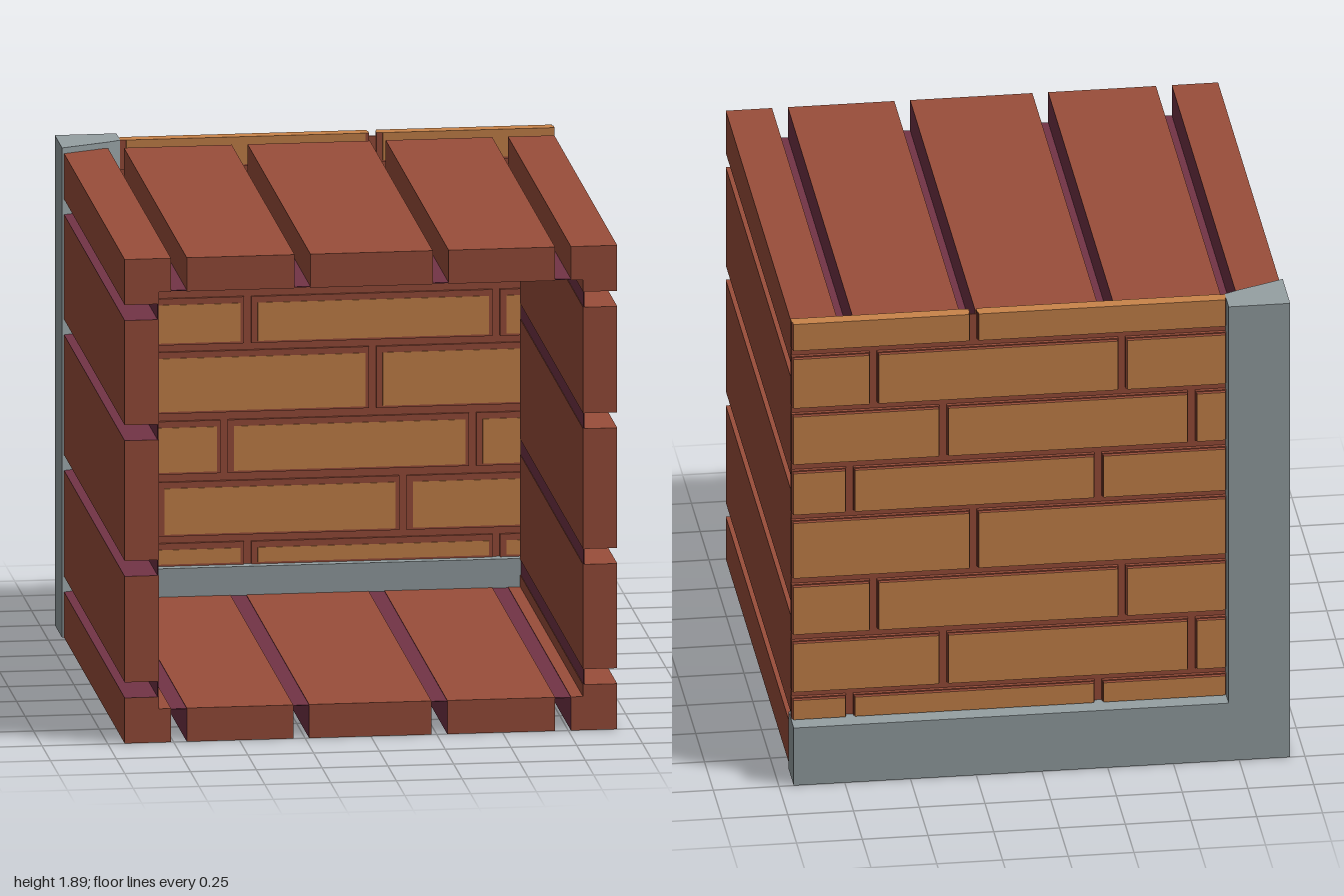
import * as THREE from 'three';

const material = (name, color) => {
  const m = new THREE.MeshStandardMaterial({ color });
  m.name = name;
  return m;
};

export function createModel() {
  const wood = material('red brown wood', 0x9a4e3a);
  const purple = material('plum shade', 0x733446);
  const orange = material('orange brick', 0xc9844a);
  const grey = material('grey stone', 0x95a0a3);

  const model = new THREE.Group();
  model.name = 'plankCrate';

  // Box given by its extents on each axis
  const box = (parent, name, mat, x0, x1, y0, y1, z0, z1) => {
    const mesh = new THREE.Mesh(new THREE.BoxGeometry(x1 - x0, y1 - y0, z1 - z0), mat);
    mesh.position.set((x0 + x1) / 2, (y0 + y1) / 2, (z0 + z1) / 2);
    mesh.name = name;
    parent.add(mesh);
    return mesh;
  };

  // Four plank panels turned around the tunnel axis
  const half = 0.936, inner = 0.806, front = 1, back = -0.855;
  const planks = [[-0.94, -0.76], [-0.70, -0.29], [-0.23, 0.235], [0.295, 0.70], [0.76, 0.94]];
  ['topPanel', 'rightPanel', 'floorPanel', 'leftPanel'].forEach((name, i) => {
    const panel = new THREE.Group();
    panel.name = name;
    planks.forEach(([a, b], k) => {
      const side = k < 4 ? purple : wood;
      const lo = Math.max(a, -half), hi = Math.min(b, half);
      box(panel, 'plank', [side, wood, wood, wood, wood, wood], lo, hi, inner, half, back, front);
    });
    // Thin lining closing the gaps
    box(panel, 'gapLining', purple, -inner, inner, inner + 0.002, inner + 0.005, back, front - 0.002);
    panel.rotation.z = -i * Math.PI / 2;
    panel.position.y = half;
    model.add(panel);
  });

  // Stone corner post with a slanted inner face
  const outline = new THREE.Shape([
    [-0.944, 1], [-0.71, 1], [-0.71, 0.885], [-0.76, 0.86], [-0.944, 0.785],
  ].map(([x, y]) => new THREE.Vector2(x, y)));
  const postGeometry = new THREE.ExtrudeGeometry(outline, { depth: 1.895, bevelEnabled: false });
  postGeometry.rotateX(-Math.PI / 2);
  const post = new THREE.Mesh(postGeometry, grey);
  post.name = 'stonePost';
  model.add(post);

  // Stone rail along the foot of the wall
  box(model, 'stoneRail', grey, -0.72, 0.944, 0, 0.24, -1, -0.852);

  // Brick wall: thin backing sheet and staggered courses
  const wall = new THREE.Group();
  wall.name = 'brickWall';
  model.add(wall);
  box(wall, 'mortarSheet', wood, -0.71, 0.94, 0.24, 1.88, -0.905, -0.899);
  const courses = [
    [0.24, 0.328, [-0.225, 0.72]],
    [0.355, 0.565, [-0.58, 0.365]],
    [0.595, 0.80, [-0.315, 0.63]],
    [0.83, 1.068, [0.25]],
    [1.095, 1.275, [-0.225, 0.72]],
    [1.305, 1.512, [-0.58, 0.365]],
    [1.54, 1.752, [-0.315, 0.63]],
    [1.78, 1.895, [0.25]],
  ];
  courses.forEach(([y0, y1, joints], row) => {
    const edges = [-0.725, ...joints, 0.955];
    for (let i = 0; i < edges.length - 1; i++) {
      const x0 = edges[i] + 0.014, x1 = edges[i + 1] - 0.014;
      const top = row === 7 ? orange : wood;
      box(wall, 'brickCore', [wood, wood, top, wood, wood, wood], x0, x1, y0, y1, -0.92, -0.888);
      // Orange faces on both sides of the wall
      box(wall, 'brickFrontFace', orange, x0 + 0.024, x1 - (i === edges.length - 2 ? 0 : 0.014),
        y0 + 0.008, row === 7 ? y1 : y1 - 0.024, -0.888, -0.885);
      box(wall, 'brickBackFace', [wood, wood, top, wood, wood, orange], x0 + 0.004, x1 - 0.004,
        y0 + 0.004, y1 - (row === 7 ? 0 : 0.004), -0.937, -0.92);
    }
  });

  return model;
}
